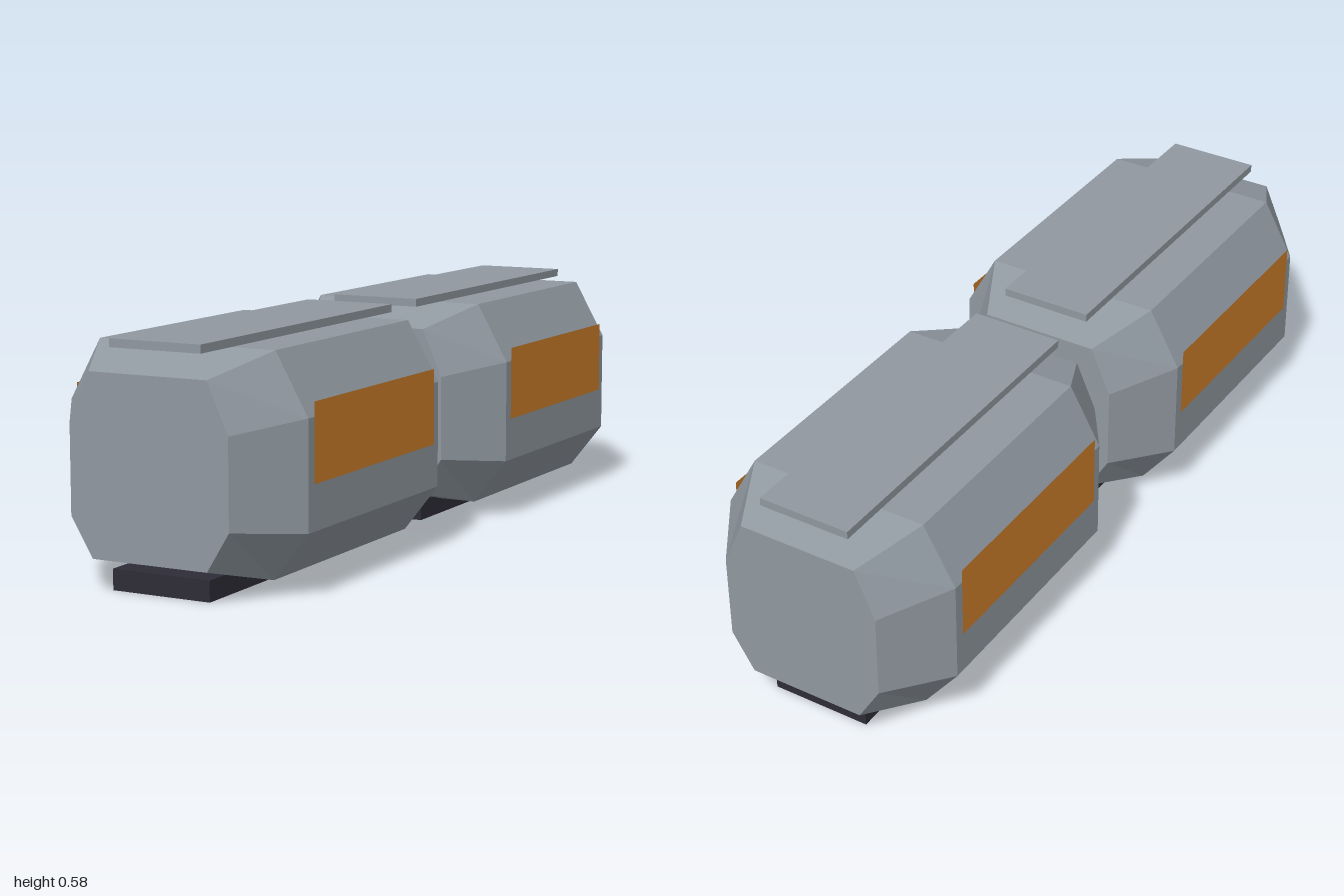
import * as THREE from 'three';

const hull = new THREE.MeshStandardMaterial({ color: 0x9098a0 });
hull.name = 'hullGrey';
hull.flatShading = true;
const dark = new THREE.MeshStandardMaterial({ color: 0x2e2d37 });
dark.name = 'darkMetal';
const amber = new THREE.MeshStandardMaterial({ color: 0xd07f2c, side: THREE.DoubleSide });
amber.name = 'amberWindow';

// Half sections, top to bottom; mirrored into eight-sided rings
const wide = [[0.232, 0.556], [0.314, 0.41], [0.314, 0.152], [0.225, 0.038]];
const narrow = [[0.154, 0.504], [0.207, 0.385], [0.207, 0.172], [0.15, 0.079]];

// Counter-clockwise ring seen from +z
function ring(half, z) {
  const left = [...half].reverse().map(([x, y]) => [x, y, z]);
  const right = half.map(([x, y]) => [-x, y, z]);
  return [...left, ...right];
}

// Skin between rings running from back to front, with flat end caps
function loft(rings) {
  const n = rings[0].length;
  const index = [];
  for (let r = 0; r < rings.length - 1; r++) {
    for (let i = 0; i < n; i++) {
      const j = (i + 1) % n;
      const a = r * n + i, b = r * n + j, c = a + n, d = b + n;
      index.push(a, b, d, a, d, c);
    }
  }
  const last = (rings.length - 1) * n;
  for (let i = 1; i < n - 1; i++) {
    index.push(0, i + 1, i, last, last + i, last + i + 1);
  }
  const geo = new THREE.BufferGeometry();
  geo.setAttribute('position', new THREE.Float32BufferAttribute(rings.flat(2), 3));
  geo.setIndex(index);
  const flat = geo.toNonIndexed();
  flat.computeVertexNormals();
  return flat;
}

function add(parent, name, geo, material, x = 0, y = 0, z = 0) {
  const mesh = new THREE.Mesh(geo, material);
  mesh.name = name;
  mesh.position.set(x, y, z);
  parent.add(mesh);
  return mesh;
}

// One pod, centred on its own z
function createPod(name) {
  const pod = new THREE.Group();
  pod.name = name;
  add(pod, 'podBody', loft([
    ring(narrow, -0.482), ring(wide, -0.32), ring(wide, 0.32), ring(narrow, 0.482),
  ]), hull);
  add(pod, 'roofPanel', new THREE.BoxGeometry(0.238, 0.02, 0.9), hull, 0, 0.566, 0);
  add(pod, 'underSkid', new THREE.BoxGeometry(0.256, 0.05, 0.866), dark, 0, 0.025, 0.003);
  for (const side of [1, -1]) {
    const pane = add(pod, side > 0 ? 'leftWindow' : 'rightWindow',
      new THREE.PlaneGeometry(0.59, 0.185), amber, side * 0.3155, 0.352, 0);
    pane.rotation.y = side * Math.PI / 2;
  }
  return pod;
}

export function createModel() {
  const model = new THREE.Group();
  model.name = 'twinPodVehicle';
  for (const side of [1, -1]) {
    const pod = createPod(side > 0 ? 'frontPod' : 'rearPod');
    pod.position.z = side * 0.518;
    model.add(pod);
  }
  // Joint between the pods
  add(model, 'coupling', new THREE.BoxGeometry(0.198, 0.256, 0.1), dark, 0, 0.273, 0);
  return model;
}
